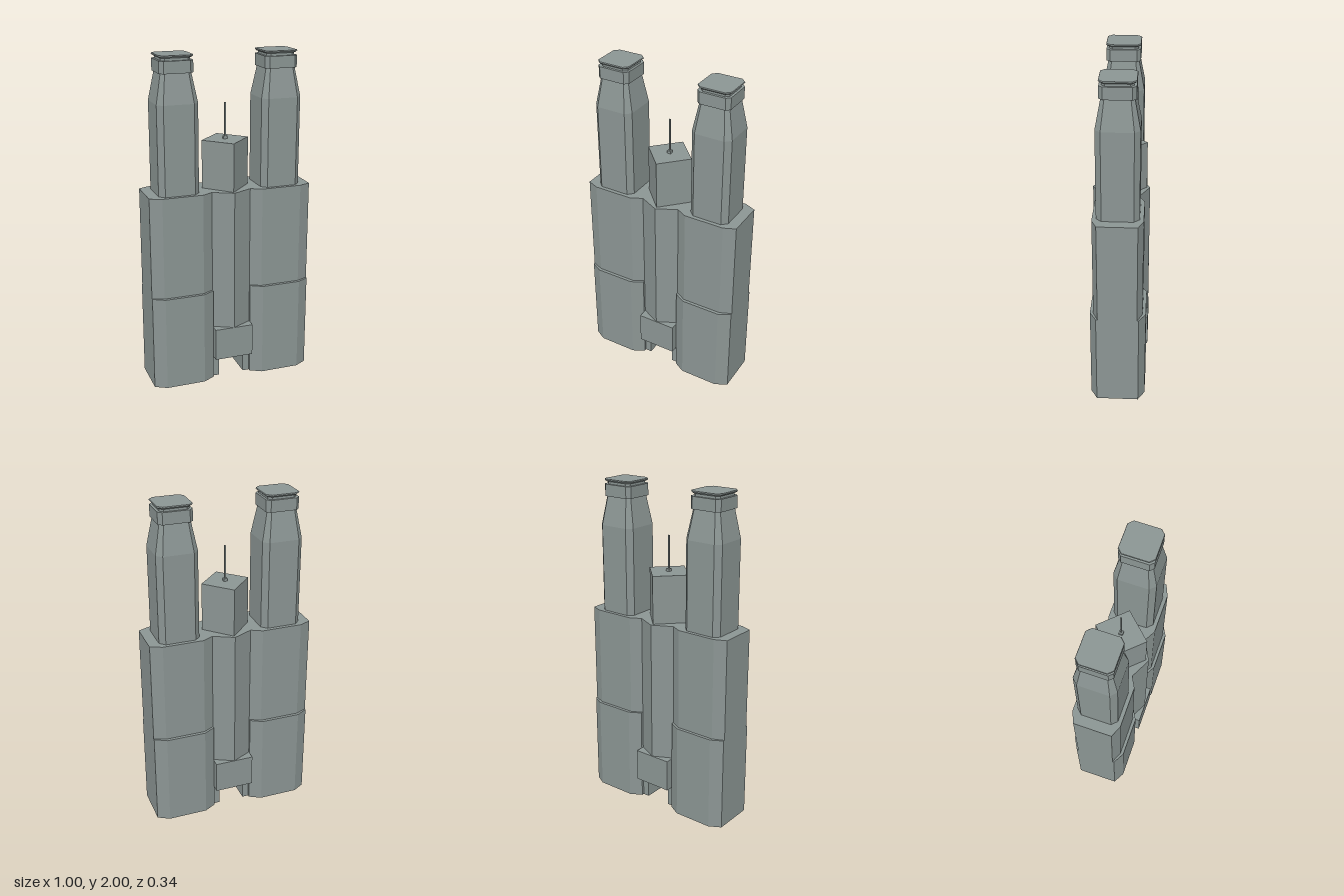
import * as THREE from 'three';

const concrete = new THREE.MeshStandardMaterial({ color: 0x8b9593, flatShading: true });
concrete.name = 'grey concrete';

function add(parent, name, geometry, x = 0, y = 0, z = 0) {
  const mesh = new THREE.Mesh(geometry, concrete);
  mesh.name = name;
  mesh.position.set(x, y, z);
  parent.add(mesh);
  return mesh;
}

// Upright prism from a plan outline, between two heights
function prism(outline, y0, y1) {
  const shape = new THREE.Shape(outline.map(([x, z]) => new THREE.Vector2(x, -z)));
  const geo = new THREE.ExtrudeGeometry(shape, { depth: y1 - y0, bevelEnabled: false });
  return geo.rotateX(-Math.PI / 2).translate(0, y0, 0);
}

// Chamfered-square cross-section, anticlockwise from above
function ring(half, cut, y) {
  const f = half - cut;
  return [[half, f], [half, -f], [f, -half], [-f, -half], [-half, -f], [-half, f], [-f, half], [f, half]]
    .map(([x, z]) => [x, y, z]);
}

// Closed solid through stacked rings
function loft(rings) {
  const pos = [];
  const tri = (a, b, c) => pos.push(...a, ...b, ...c);
  const n = rings[0].length, last = rings[rings.length - 1];
  for (let r = 0; r < rings.length - 1; r++) {
    for (let i = 0; i < n; i++) {
      const j = (i + 1) % n;
      tri(rings[r][i], rings[r][j], rings[r + 1][j]);
      tri(rings[r][i], rings[r + 1][j], rings[r + 1][i]);
    }
  }
  for (let i = 1; i < n - 1; i++) {
    tri(rings[0][0], rings[0][i + 1], rings[0][i]);
    tri(last[0], last[i], last[i + 1]);
  }
  const geo = new THREE.BufferGeometry();
  geo.setAttribute('position', new THREE.Float32BufferAttribute(pos, 3));
  geo.computeVertexNormals();
  return geo;
}

export function createModel() {
  const model = new THREE.Group();
  model.name = 'twinTowerBuilding';

  // Upper hull: two chamfered wings joined by a pointed core
  const front = [[-0.5, 0.115], [-0.43, 0.145], [-0.185, 0.145], [-0.12, 0.11], [0, 0.17],
    [0.12, 0.11], [0.185, 0.145], [0.43, 0.145], [0.5, 0.115]];
  const back = front.map(([x, z]) => [-x, -z]);
  add(model, 'upperHull', prism([...front, ...back], 0.58, 1.2));

  // Core running down between the lower wings
  const core = [[-0.12, 0.11], [0, 0.17], [0.12, 0.11], [0.12, -0.11], [0, -0.17], [-0.12, -0.11]];
  add(model, 'core', prism(core, 0.34, 0.58));
  add(model, 'bridge', new THREE.BoxGeometry(0.24, 0.2, 0.342), 0, 0.24, 0);

  for (const side of [-1, 1]) {
    const label = side > 0 ? 'left' : 'right';

    // Lower wing and the narrow leg beneath the bridge
    const wing = [[-0.19, 0.125], [-0.12, 0.164], [0.12, 0.164], [0.19, 0.125],
      [0.19, -0.125], [0.12, -0.164], [-0.12, -0.164], [-0.19, -0.125]];
    add(model, label + 'LowerWing', prism(wing, 0, 0.583), side * 0.31);
    add(model, label + 'Leg', new THREE.BoxGeometry(0.04, 0.14, 0.22), side * 0.1, 0.07, 0);

    // Tapering tower with collar and flared cap
    const tower = new THREE.Group();
    tower.name = label + 'Tower';
    tower.position.x = side * 0.315;
    model.add(tower);
    add(tower, 'shaft', loft([ring(0.122, 0.032, 1.2), ring(0.122, 0.032, 1.73), ring(0.09, 0.02, 1.9)]));
    add(tower, 'collar', loft([ring(0.1, 0.022, 1.9), ring(0.1, 0.022, 1.97)]));
    add(tower, 'neck', loft([ring(0.086, 0.02, 1.97), ring(0.086, 0.02, 1.987)]));
    add(tower, 'cap', loft([ring(0.092, 0.022, 1.985), ring(0.102, 0.026, 1.994), ring(0.1, 0.026, 2)]));
  }

  // Diamond-plan penthouse with mast
  add(model, 'penthouse', prism([[-0.145, 0], [0, 0.152], [0.145, 0], [0, -0.152]], 1.2, 1.49));
  add(model, 'mastBase', new THREE.BoxGeometry(0.024, 0.016, 0.024), 0, 1.498, 0);
  add(model, 'mast', new THREE.BoxGeometry(0.008, 0.2, 0.008), 0, 1.605, 0);

  return model;
}
